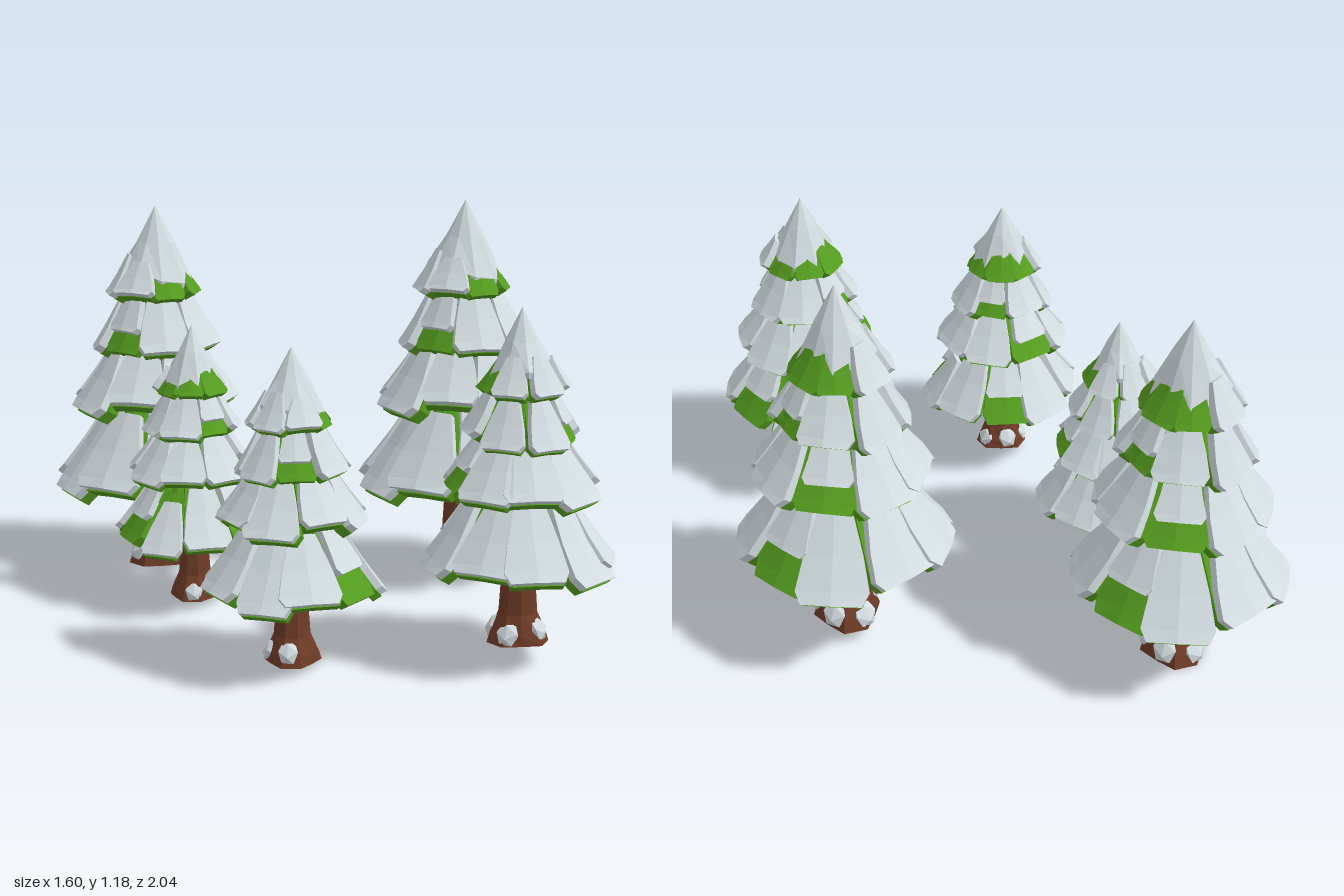
import * as THREE from 'three';
import { mergeGeometries } from 'three/addons/utils/BufferGeometryUtils.js';

// seeded jitter in -1..1
let seed = 7;
const jitter = () => {
  seed = (seed * 16807) % 2147483647;
  return (seed / 2147483647) * 2 - 1;
};

const flat = (g) => {
  const n = g.index ? g.toNonIndexed() : g;
  n.deleteAttribute('uv');
  n.computeVertexNormals();
  return n;
};

// A bough slab running down a tier's slope: chevron cross-sections joined in a loop
function bough(tier, angle, halfWidth, topWidth, t0, t1, low, high) {
  const { r0, y0, R, y1 } = tier;
  const len = Math.hypot(R - r0, y0 - y1);
  const nr = (y0 - y1) / len, ny = (R - r0) / len;
  const sections = [[0, topWidth], [0.5, 0.8], [0.86, 1], [1, 0.84]].map(([u, wide]) => {
    const t = t0 + (t1 - t0) * u;
    const r = r0 + (R - r0) * t;
    const y = y0 + (y1 - y0) * (t + 0.14 * t * (1 - t));
    const w = halfWidth * wide;
    const at = (x, off) => {
      const back = (0.55 * x * x) / (2 * r);
      return new THREE.Vector3(x, y + ny * off - back * 0.6, r + nr * off - back);
    };
    return [at(-w, high), at(-w, low), at(0, low), at(w, low), at(w, high), at(0, high)];
  });
  const pos = [];
  const tri = (...p) => p.forEach((v) => pos.push(v.x, v.y, v.z));
  for (let i = 0; i < sections.length - 1; i++) {
    const a = sections[i], b = sections[i + 1];
    for (let j = 0; j < 6; j++) {
      const k = (j + 1) % 6;
      tri(a[j], a[k], b[k]);
      tri(a[j], b[k], b[j]);
    }
  }
  const first = sections[0], last = sections[sections.length - 1];
  for (let j = 3; j < 7; j++) {
    tri(last[2], last[j % 6], last[(j + 1) % 6]);
    tri(first[2], first[(j + 1) % 6], first[j % 6]);
  }
  const g = new THREE.BufferGeometry();
  g.setAttribute('position', new THREE.Float32BufferAttribute(pos, 3));
  g.rotateY(angle);
  g.computeVertexNormals();
  return g;
}

// Lathe reshaped by a rule: (angle, height) gives a radius factor and a height shift
function turned(profile, sides, rule) {
  const g = new THREE.LatheGeometry(profile.map(([x, y]) => new THREE.Vector2(x, y)), sides);
  const p = g.attributes.position;
  for (let i = 0; i < p.count; i++) {
    const [k, lift] = rule(Math.atan2(p.getX(i), p.getZ(i)), p.getY(i));
    p.setXYZ(i, p.getX(i) * k, p.getY(i) + lift, p.getZ(i) * k);
  }
  return flat(g);
}

// Tiers from the bottom up; bare lists boughs with little or no snow
const tiers = [
  { r0: 0.1, y0: 0.55, R: 0.285, y1: 0.275, count: 9, turn: 0, bare: [2, 8] },
  { r0: 0.08, y0: 0.745, R: 0.235, y1: 0.52, count: 8, turn: 0.5, bare: [2] },
  { r0: 0.06, y0: 0.89, R: 0.17, y1: 0.7, count: 7, turn: 0.2, bare: [1, 5] },
  { r0: 0.055, y0: 0.985, R: 0.13, y1: 0.86, count: 7, turn: 0.4, bare: [0, 1, 2, 6] },
];

function buildParts() {
  const parts = [];
  const add = (name, geometry, colour) => parts.push({ name, geometry, colour });

  // Trunk with flared roots
  add('trunk', turned(
    [[0, 0], [0.096, 0], [0.088, 0.035], [0.064, 0.1], [0.054, 0.25], [0.046, 0.45], [0, 0.45]], 9,
    (a, y) => [1 + 0.14 * Math.max(0, 1 - y / 0.12) * Math.sin(3 * a + 0.6), 0]), 'bark');

  // Snow lumps resting on the roots
  const lumps = [0.45, 1.7, 2.9, 4.4].map((a, i) => {
    const g = new THREE.IcosahedronGeometry(0.04, 0);
    g.scale(1, 1.15, 0.55);
    g.rotateX(-0.5);
    g.translate(0, 0.04 + 0.012 * (i % 2), 0.075);
    g.rotateY(a);
    return flat(g);
  });
  add('rootSnow', mergeGeometries(lumps), 'snow');

  tiers.forEach((tier, n) => {
    // Needle body under the boughs
    const { r0, y0, R, y1, count } = tier;
    const bottom = y1 + (y0 - y1) * 0.28;
    const body = new THREE.CylinderGeometry(r0, R * 0.74, y0 - bottom, count);
    body.translate(0, (y0 + bottom) / 2 - 0.01, 0);
    add('needleBody' + (n + 1), flat(body), 'needles');

    // Green boughs, most carrying a slab of snow
    const green = [], snow = [];
    for (let i = 0; i < count; i++) {
      const stray = n === 0 && i === 0;
      const long = n === 0 && i === 6;
      const bare = tier.bare.includes(i);
      const angle = ((i + tier.turn) / count) * Math.PI * 2 + (stray ? 0 : 0.09 * jitter());
      const half = (Math.PI * R / count) * (stray ? 0.78 : 0.96 + 0.1 * jitter());
      const end = stray || long ? 1.08 : 1 + 0.06 * jitter();
      const start = stray ? 0.25 : 0.02;
      const drooped = { ...tier, y1: y1 + 0.014 * jitter() };
      green.push(bough(drooped, angle, half, 0.55, start, end, -0.028, 0.008));
      // Bare boughs keep a patch of snow high on the slope, except under the cap
      const from = stray ? 0.38 : 0.12 + 0.1 * jitter();
      const to = bare ? 0.66 : end - 0.015;
      if (!bare || n < 3) {
        snow.push(bough(drooped, angle + 0.05 * jitter(), half * (bare ? 0.8 : 1.05),
          bare ? 0.6 : 0.4, from, to, 0.006, 0.032));
      }
    }
    add('boughs' + (n + 1), mergeGeometries(green), 'needles');
    add('boughSnow' + (n + 1), mergeGeometries(snow), 'snow');
  });

  // Pointed snow cap, its rim hanging lower on one side
  add('snowCap', turned(
    [[0, 0.93], [0.108, 0.895], [0.112, 0.918], [0.056, 1.03], [0, 1.14]], 9,
    (a, y) => [1 + 0.05 * Math.sin(2 * a + 1), y < 0.92 ? -0.022 * Math.sin(a - 2.6) * -1 + 0.01 * Math.sin(4 * a) : 0]),
  'snow');
  return parts;
}

export function createModel() {
  seed = 7;
  const materials = {};
  for (const [name, color] of [['snow', 0xd3dde1], ['needles', 0x559c1f], ['bark', 0x703c28]]) {
    materials[name] = new THREE.MeshStandardMaterial({ color });
    materials[name].name = name;
  }
  const parts = buildParts();
  const model = new THREE.Group();
  model.name = 'snowyPines';

  // x, base height, z, width scale, height scale, turn
  const trees = [
    [0.055, 0, -0.71, 1, 1, 0],
    [0.485, 0.04, 0.16, 1, 1, 0],
    [-0.235, 0.02, -0.325, 0.75, 0.725, -1.36],
    [-0.545, 0.02, 0.28, 0.79, 0.768, 0.79],
    [-0.115, 0.055, 0.735, 0.86, 0.82, 1.97],
  ];
  trees.forEach(([x, y, z, w, h, turn], i) => {
    const tree = new THREE.Group();
    tree.name = 'pineTree' + (i + 1);
    for (const { name, geometry, colour } of parts) {
      const mesh = new THREE.Mesh(geometry, materials[colour]);
      mesh.name = name;
      tree.add(mesh);
    }
    tree.position.set(x, y, z);
    tree.scale.set(w, h, w);
    tree.rotation.y = turn;
    model.add(tree);
  });
  return model;
}
